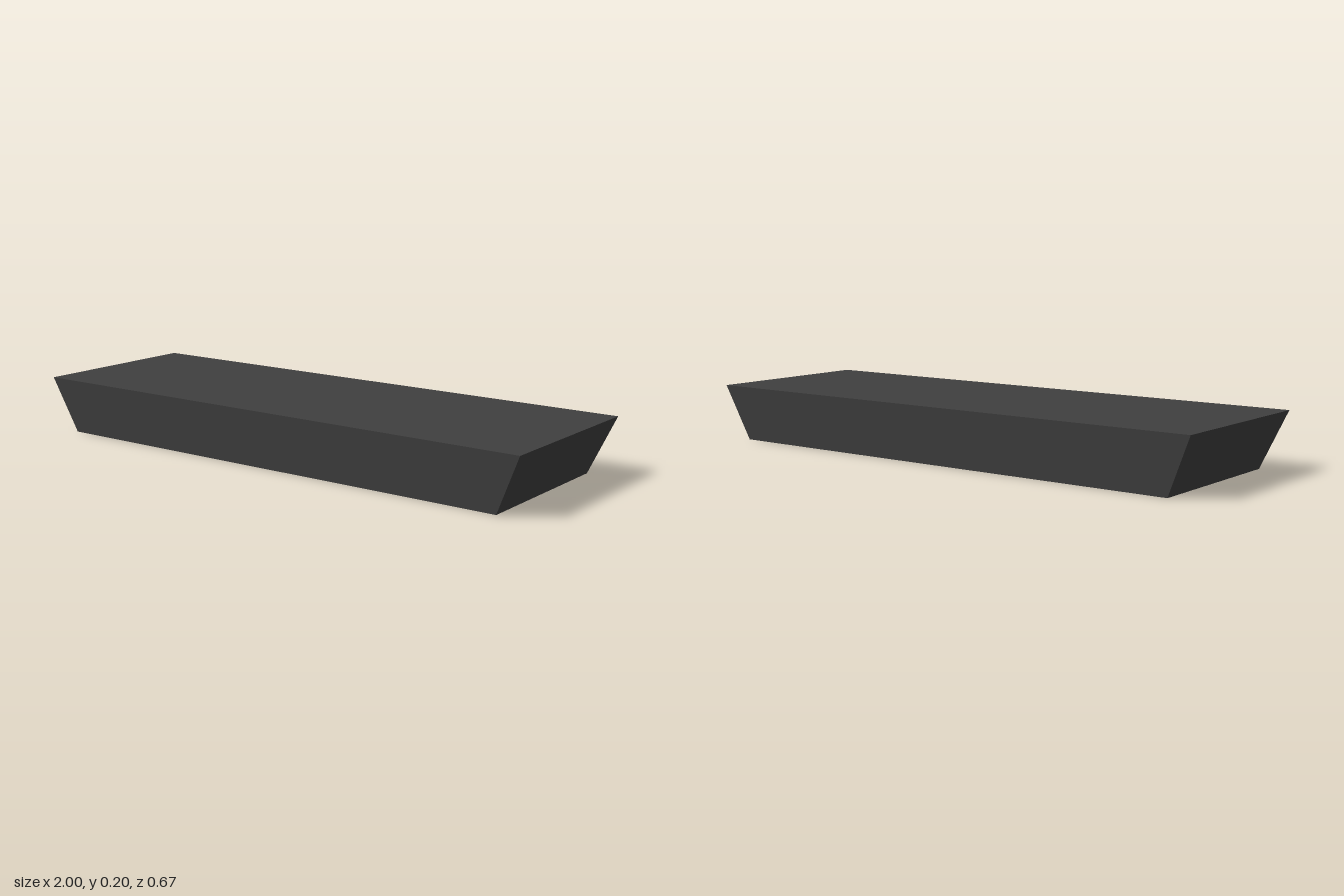
import * as THREE from 'three';

// Skin a stack of rectangular rings [halfX, y, halfZ], closing the first and last
function ringShell(rings) {
  const corners = rings.map(([x, y, z]) => [[x, y, z], [x, y, -z], [-x, y, -z], [-x, y, z]]);
  const pos = [];
  const quad = (a, b, c, d) => [a, b, c, a, c, d].forEach((p) => pos.push(...p));
  quad(...corners[0]);
  for (let r = 0; r < rings.length - 1; r++) {
    const up = corners[r], low = corners[r + 1];
    for (let i = 0; i < 4; i++) {
      const j = (i + 1) % 4;
      quad(up[i], low[i], low[j], up[j]);
    }
  }
  quad(...[...corners[rings.length - 1]].reverse());
  const geo = new THREE.BufferGeometry();
  geo.setAttribute('position', new THREE.Float32BufferAttribute(pos, 3));
  geo.computeVertexNormals();
  return geo;
}

export function createModel() {
  const model = new THREE.Group();
  model.name = 'ceilingLight';

  // Tapered housing with a shallow rectangular recess underneath
  const housing = new THREE.Mesh(
    ringShell([
      [1, 0.204, 0.333],
      [0.91, 0, 0.305],
      [0.855, 0, 0.25],
      [0.855, 0.065, 0.25],
    ]),
    new THREE.MeshStandardMaterial({ color: 0x404040 }),
  );
  housing.name = 'housing';
  model.add(housing);

  // Two light tubes half sunk into the recess
  const tubeGeo = new THREE.CylinderGeometry(0.043, 0.043, 1.72, 32).rotateZ(Math.PI / 2);
  const tubeMat = new THREE.MeshStandardMaterial({ color: 0xcccccc });
  for (const side of [-1, 1]) {
    const tube = new THREE.Mesh(tubeGeo, tubeMat);
    tube.name = side > 0 ? 'frontTube' : 'backTube';
    tube.position.set(0, 0.055, side * 0.12);
    model.add(tube);
  }
  return model;
}
